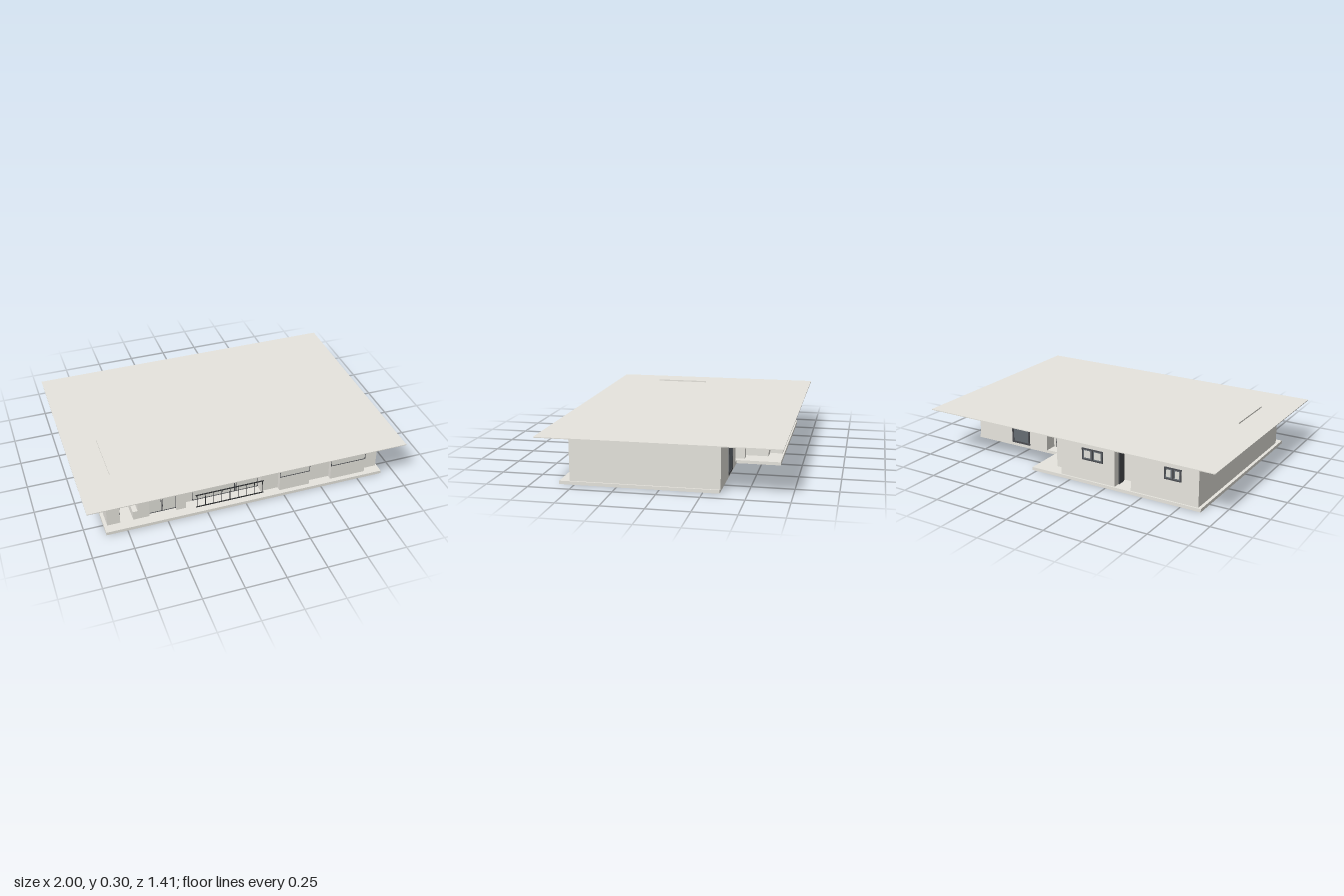
import * as THREE from 'three';

export function createModel() {
  const house = new THREE.Group();
  const mat = (name, color) => {
    const m = new THREE.MeshStandardMaterial({ color });
    m.name = name;
    return m;
  };
  const plaster = mat('plaster', 0xe7e5de);
  const glass = mat('paleGlass', 0xe2e1da);
  const frame = mat('darkFrame', 0x4a4c50);
  const door = mat('slateDoor', 0x666d73);
  const iron = mat('blackIron', 0x2c2e30);

  // box given by its limits along x, y and z
  const box = (name, m, x0, x1, y0, y1, z0, z1, parent = house) => {
    const mesh = new THREE.Mesh(new THREE.BoxGeometry(x1 - x0, y1 - y0, z1 - z0), m);
    mesh.position.set((x0 + x1) / 2, (y0 + y1) / 2, (z0 + z1) / 2);
    mesh.name = name;
    parent.add(mesh);
  };

  // floor plan of [x, z] corners raised from y0 to y1
  const plan = (name, points, y0, y1) => {
    const shape = new THREE.Shape(points.map(([x, z]) => new THREE.Vector2(x, -z)));
    const geo = new THREE.ExtrudeGeometry(shape, { depth: y1 - y0, bevelEnabled: false });
    geo.rotateX(-Math.PI / 2);
    const mesh = new THREE.Mesh(geo, plaster);
    mesh.position.y = y0;
    mesh.name = name;
    house.add(mesh);
  };

  // thin framed opening: pane, border bars and mullions, facing dir along z
  const framed = (name, pane, x0, x1, y0, y1, z, dir, mullions = [], t = 0.003) => {
    const g = new THREE.Group();
    g.name = name;
    house.add(g);
    const slab = (n, m, a, b, c, d, depth) =>
      box(n, m, a, b, c, d, Math.min(z, z + dir * depth), Math.max(z, z + dir * depth), g);
    slab('pane', pane, x0, x1, y0, y1, 0.002);
    slab('headBar', frame, x0, x1, y1 - t, y1, 0.005);
    slab('sillBar', frame, x0, x1, y0, y0 + t, 0.005);
    slab('sideBar', frame, x0, x0 + t, y0 + t, y1 - t, 0.005);
    slab('sideBar', frame, x1 - t, x1, y0 + t, y1 - t, 0.005);
    for (const x of mullions) slab('mullion', frame, x - t / 2, x + t / 2, y0 + t, y1 - t, 0.005);
  };

  // floor slab with the back corner cut away
  plan('floorSlab', [
    [-0.88, 0.59], [0.915, 0.59], [0.915, -0.345], [0.28, -0.345], [0.28, -0.62], [-0.88, -0.62],
  ], 0, 0.02);

  // walls with front entry, window recess, back porch and back doorway
  plan('walls', [
    [-0.86, 0.53], [-0.78, 0.53], [-0.78, 0.3], [-0.67, 0.3], [-0.67, 0.53],
    [-0.6, 0.53], [-0.6, 0.51], [-0.43, 0.51], [-0.43, 0.53],
    [-0.37, 0.53], [-0.37, 0.48], [0.115, 0.48], [0.115, 0.53], [0.905, 0.53],
    [0.905, -0.35], [0.36, -0.35], [0.36, -0.27], [0.24, -0.27], [0.24, -0.39],
    [0.18, -0.39], [0.18, -0.33], [0.155, -0.33], [0.155, -0.53], [0.07, -0.53], [0.07, -0.61],
    [-0.31, -0.61], [-0.31, -0.49], [-0.42, -0.49], [-0.42, -0.61], [-0.86, -0.61],
  ], 0.02, 0.29);

  // flat roof and the low strip on it
  box('roof', plaster, -1, 1, 0.29, 0.295, -0.705, 0.705);
  box('roofStrip', plaster, -0.798, -0.795, 0.295, 0.304, 0.05, 0.4);

  // shallow front bays: apron panel below, window above
  for (const [x0, x1] of [[0.23, 0.43], [0.575, 0.81]]) {
    box('bayApron', plaster, x0, x1, 0.02, 0.12, 0.53, 0.56);
    box('bayCore', plaster, x0, x1, 0.12, 0.28, 0.53, 0.555);
    framed('bayWindow', glass, x0, x1, 0.12, 0.28, 0.555, 1);
    box('bayBlind', frame, x0 + 0.003, x1 - 0.003, 0.27, 0.274, 0.555, 0.559);
  }

  // glazed front openings
  framed('frontGlassDoor', glass, -0.6, -0.43, 0.025, 0.28, 0.51, 1, [-0.52, -0.512]);
  framed('livingWindow', glass, -0.315, 0.115, 0.025, 0.28, 0.48, 1, [-0.04, -0.03]);
  framed('entryDoor', glass, -0.775, -0.675, 0.02, 0.28, 0.3, 1);
  box('entryStep', plaster, -0.7, -0.67, 0.02, 0.08, 0.42, 0.53);

  // side window inside the entry
  box('entrySideFrame', frame, -0.78, -0.777, 0.07, 0.27, 0.38, 0.52);
  for (const z of [0.387, 0.455]) box('entrySidePane', glass, -0.777, -0.775, 0.08, 0.26, z, z + 0.058);

  // balcony railing
  const railing = new THREE.Group();
  railing.name = 'railing';
  house.add(railing);
  for (const y of [0.05, 0.14]) box('rail', iron, -0.32, 0.115, y - 0.003, y + 0.003, 0.573, 0.577, railing);
  for (let i = 0; i <= 8; i++) {
    const x = -0.312 + i * 0.0525;
    box('baluster', iron, x - 0.002, x + 0.002, 0.05, 0.14, 0.5745, 0.5755, railing);
  }

  // back doors and windows
  framed('backDoor', door, 0.495, 0.635, 0.025, 0.275, -0.35, -1, [], 0.012);
  framed('porchDoor', plaster, 0.26, 0.34, 0.02, 0.27, -0.27, -1);
  box('porchSideDoor', frame, 0.175, 0.18, 0.02, 0.27, -0.385, -0.335);
  box('serviceDoor', frame, -0.315, -0.31, 0.02, 0.26, -0.565, -0.51);
  for (const [x0, x1] of [[-0.23, -0.085], [-0.75, -0.64]]) {
    const mid = (x0 + x1) / 2;
    framed('backWindow', door, x0, x1, 0.15, 0.225, -0.61, -1, [mid], 0.007);
    for (const [a, b] of [[x0, mid], [mid, x1]])
      box('backWindowPane', glass, a + 0.014, b - 0.014, 0.165, 0.21, -0.614, -0.612);
  }

  return house;
}
